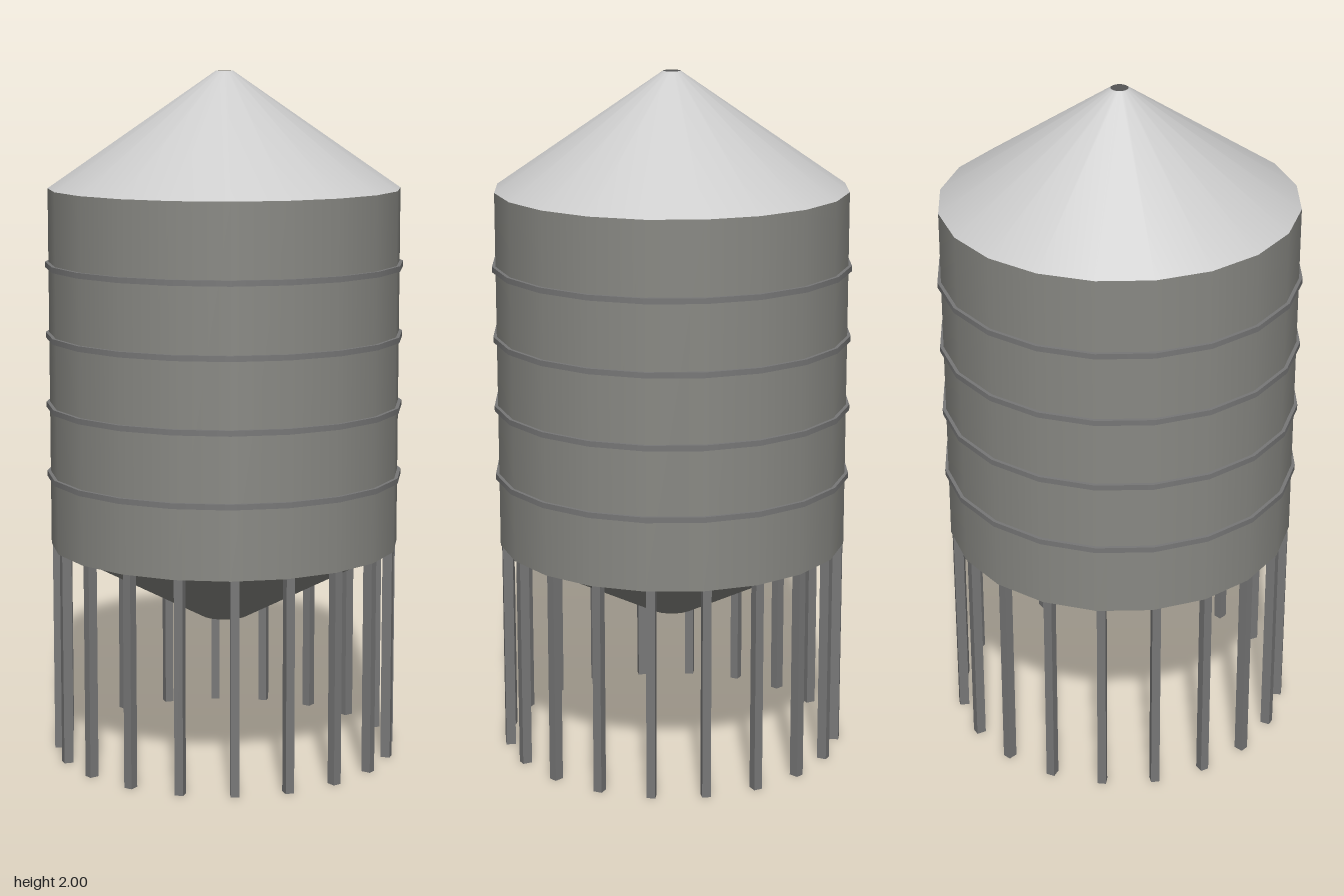
import * as THREE from 'three';

const SIDES = 20;
const R = 0.51;
const WALL_BOTTOM = 0.62;
const WALL_TOP = 1.665;

const material = (color) => new THREE.MeshStandardMaterial({ color, side: THREE.DoubleSide });

export function createModel() {
  const model = new THREE.Group();
  const roofMat = material(0xcccccc);
  const wallMat = material(0x888883);
  const trimMat = material(0x777777);
  const darkMat = material(0x555555);

  // Adds a frustum ring between two heights
  const frustum = (name, rTop, rBottom, yBottom, yTop, mat, open = true) => {
    const geometry = new THREE.CylinderGeometry(rTop, rBottom, yTop - yBottom, SIDES, 1, open);
    const mesh = new THREE.Mesh(geometry, mat);
    mesh.name = name;
    mesh.position.y = (yBottom + yTop) / 2;
    model.add(mesh);
  };

  // Flat horizontal ring or disc
  const disc = (name, inner, outer, y, mat, faceUp) => {
    const geometry = inner > 0
      ? new THREE.RingGeometry(inner, outer, SIDES)
      : new THREE.CircleGeometry(outer, SIDES);
    geometry.rotateX(faceUp ? -Math.PI / 2 : Math.PI / 2);
    const mesh = new THREE.Mesh(geometry, mat);
    mesh.name = name;
    mesh.position.y = y;
    model.add(mesh);
  };

  // Tank shell, conical roof and discharge hopper
  frustum('wall', R, R, WALL_BOTTOM, WALL_TOP, wallMat);
  frustum('roof', 0.025, R, WALL_TOP, 2, roofMat);
  disc('roofCap', 0, 0.025, 2, darkMat, true);
  disc('bottomRim', 0.485, R, WALL_BOTTOM, trimMat, false);
  frustum('hopper', 0.485, 0.07, 0.4, WALL_BOTTOM, wallMat);
  disc('hopperOutlet', 0, 0.07, 0.4, darkMat, false);

  // Hoops around the wall
  for (let i = 0; i < 4; i++) {
    const y = 0.83 + i * 0.205;
    frustum('hoop', 0.52, 0.52, y - 0.008, y + 0.008, trimMat, false);
  }

  // Ring of legs, each set just beside a wall corner
  const legs = new THREE.Group();
  legs.name = 'legs';
  const legGeometry = new THREE.BoxGeometry(0.025, WALL_BOTTOM, 0.028);
  legGeometry.translate(0.0125, WALL_BOTTOM / 2, R - 0.018);
  for (let i = 0; i < SIDES; i++) {
    const leg = new THREE.Mesh(legGeometry, trimMat);
    leg.name = 'leg';
    leg.rotation.y = (i / SIDES) * Math.PI * 2;
    legs.add(leg);
  }
  model.add(legs);

  return model;
}
